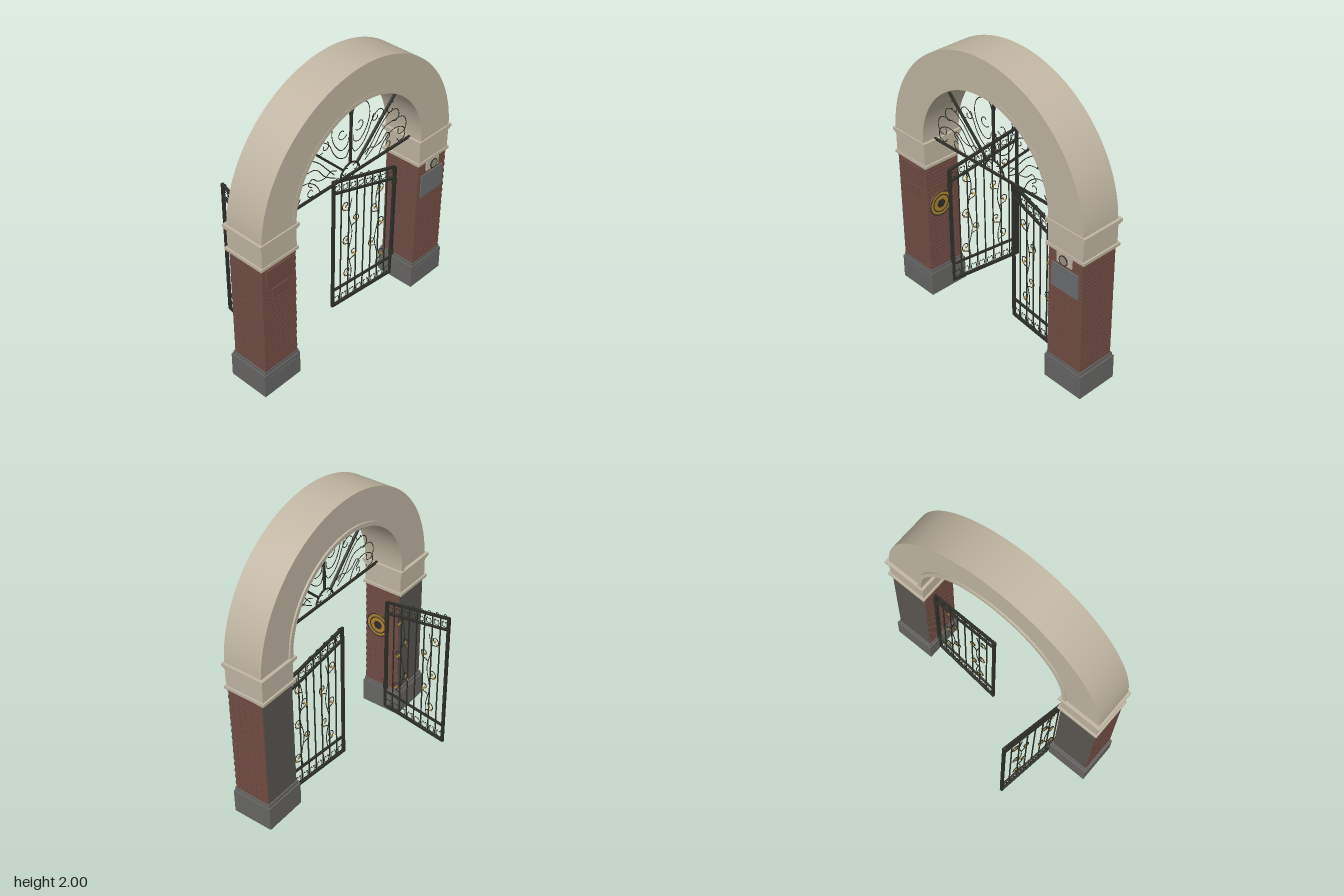
import * as THREE from 'three';
import { mergeGeometries, toCreasedNormals } from 'three/addons/utils/BufferGeometryUtils.js';

const mat = (name, color) => {
  const m = new THREE.MeshStandardMaterial({ color });
  m.name = name;
  return m;
};

export function createModel() {
  const stone = mat('stone', 0xc0b6a2), brick = mat('brick', 0x704c43), mortar = mat('mortar', 0x5b5853);
  const granite = mat('granite', 0x676665), iron = mat('iron', 0x2e2e29), gold = mat('gold', 0xb0822c);
  const slate = mat('slate', 0x6b6d6e), lensMat = mat('lens', 0x9a9282);
  const model = new THREE.Group();

  const add = (parent, name, geo, material) => {
    const mesh = new THREE.Mesh(geo, material);
    mesh.name = name;
    parent.add(mesh);
    return mesh;
  };
  // box given by its limits
  const box = (x0, x1, y0, y1, z0, z1) => new THREE.BoxGeometry(x1 - x0, y1 - y0, z1 - z0)
    .translate((x0 + x1) / 2, (y0 + y1) / 2, (z0 + z1) / 2);
  // square bar between two points in the xy plane
  const bar = (x0, y0, x1, y1, w, d = w) => new THREE.BoxGeometry(Math.hypot(x1 - x0, y1 - y0), w, d)
    .rotateZ(Math.atan2(y1 - y0, x1 - x0)).translate((x0 + x1) / 2, (y0 + y1) / 2, 0);
  // thin bent rod through xy points
  const rod = (pts, r = 0.0028, seg = 24) => new THREE.TubeGeometry(
    new THREE.CatmullRomCurve3(pts.map(([x, y]) => new THREE.Vector3(x, y, 0))), seg, r, 4);
  // spiral curl points around a centre
  const curl = (cx, cy, r, a0, turn, n = 8) => Array.from({ length: n + 1 }, (_, i) => {
    const a = a0 + turn * i / n, q = r * (1 - 0.65 * i / n);
    return [cx + q * Math.cos(a), cy + q * Math.sin(a)];
  });

  // ---- pillars
  const brickRow = (a, b, shift) => {
    const cuts = [], step = 0.0917;
    for (let p = a - shift * step; p < b - 0.002; p += step) {
      const lo = Math.max(a, p), hi = Math.min(b, p + step - 0.004);
      if (hi - lo > 0.006) cuts.push([lo, hi]);
    }
    return cuts;
  };
  for (const s of [-1, 1]) {
    const pillar = new THREE.Group();
    pillar.name = s > 0 ? 'leftPillar' : 'rightPillar';
    pillar.position.x = s * 0.695;
    model.add(pillar);
    add(pillar, 'base', mergeGeometries([
      box(-0.153, 0.153, 0, 0.175, 0.06, 0.355),
      box(-0.144, 0.144, 0.175, 0.2, 0.069, 0.349),
      box(-0.115, 0.115, 0.035, 0.145, 0.355, 0.358),
    ]), granite);
    add(pillar, 'core', box(-0.134, 0.134, 0.2, 1.01, 0.078, 0.342), mortar);
    const bricks = [], courses = 30, h = 0.81 / courses;
    for (let i = 0; i < courses; i++) {
      const y0 = 0.2 + i * h, y1 = y0 + h - 0.003;
      for (const [a, b] of brickRow(-0.138, 0.138, (i % 2) / 2)) bricks.push(box(a, b, y0, y1, 0.33, 0.346));
      for (const [a, b] of brickRow(0.08, 0.342, (i % 2) / 2))
        bricks.push(box(-0.138, -0.125, y0, y1, a, b), box(0.125, 0.138, y0, y1, a, b));
    }
    add(pillar, 'bricks', mergeGeometries(bricks), brick);
    add(pillar, 'capital', mergeGeometries([
      box(-0.152, 0.152, 1.01, 1.03, 0.055, 0.358),
      box(-0.14, 0.14, 1.03, 1.165, 0.068, 0.352),
      box(-0.15, 0.15, 1.165, 1.18, 0.058, 0.357),
      box(-0.157, 0.157, 1.18, 1.2, 0.05, 0.362),
    ]), stone);
  }

  // ---- plaques, intercom and medallion
  add(model, 'namePlaque', mergeGeometries([
    box(-0.8, -0.595, 0.84, 0.985, 0.345, 0.354), box(-0.76, -0.628, 0.755, 0.832, 0.345, 0.354)]), brick);
  add(model, 'noticePlate', box(0.587, 0.802, 0.74, 0.912, 0.345, 0.354), slate);
  add(model, 'intercom', box(0.632, 0.75, 0.937, 1.01, 0.345, 0.357), stone);
  add(model, 'intercomLens', new THREE.CylinderGeometry(0.03, 0.03, 0.012, 24)
    .rotateX(Math.PI / 2).translate(0.692, 0.973, 0.36), lensMat);
  add(model, 'intercomRing', new THREE.TorusGeometry(0.031, 0.004, 6, 24).translate(0.692, 0.973, 0.364), iron);
  const medallion = new THREE.Group();
  medallion.name = 'medallion';
  medallion.position.set(-0.555, 0.7, 0.24);
  medallion.rotation.y = Math.PI / 2;
  model.add(medallion);
  add(medallion, 'disc', new THREE.CylinderGeometry(0.088, 0.088, 0.012, 32).rotateX(Math.PI / 2), gold);
  add(medallion, 'rings', mergeGeometries([0.088, 0.062].map(r =>
    new THREE.TorusGeometry(r, 0.004, 6, 32).translate(0, 0, 0.006))), iron);
  add(medallion, 'relief', new THREE.CircleGeometry(0.035, 6).translate(0, 0, 0.008), iron);

  // ---- arch, with a raised trim around the opening at the back
  const arch = new THREE.Shape();
  const a0 = Math.asin(0.035 / 0.835);
  arch.absarc(0, 1.165, 0.835, a0, Math.PI - a0, false);
  arch.absarc(0, 1.2, 0.557, Math.PI, 0, true);
  arch.closePath();
  const extrude = (shape, z0, z1) => toCreasedNormals(new THREE.ExtrudeGeometry(shape,
    { depth: z1 - z0, bevelEnabled: false, curveSegments: 48 }).translate(0, 0, z0), 0.5);
  add(model, 'arch', extrude(arch, 0.072, 0.353), stone);
  const trim = new THREE.Shape();
  trim.absarc(0, 1.2, 0.585, 0, Math.PI, false);
  trim.absarc(0, 1.2, 0.557, Math.PI, 0, true);
  trim.closePath();
  add(model, 'archTrim', mergeGeometries([extrude(trim, 0.06, 0.074), extrude(trim, 0.352, 0.355)]), stone);

  // ---- fan grille in the arch
  const fan = new THREE.Group();
  fan.name = 'fanGrille';
  fan.position.set(0, 1.2, 0.26);
  model.add(fan);
  const spokes = [bar(-0.557, 0, 0.557, 0, 0.014)];
  for (const a of [0.25, 0.5, 0.75].map(t => t * Math.PI))
    spokes.push(bar(0.085 * Math.cos(a), 0.085 * Math.sin(a), 0.56 * Math.cos(a), 0.56 * Math.sin(a), 0.014));
  spokes.push(new THREE.TorusGeometry(0.085, 0.006, 6, 24, Math.PI));
  add(fan, 'spokes', mergeGeometries(spokes), iron);
  const scrollPaths = [
    [[0.01, 0.42], [0.03, 0.47], [0.08, 0.485], [0.14, 0.45], [0.165, 0.37], [0.14, 0.28], [0.08, 0.215], [0.03, 0.23], [0.02, 0.28]],
    [[0.01, 0.2], [0.04, 0.15], [0.1, 0.17], [0.15, 0.23], [0.19, 0.31], [0.25, 0.35], [0.29, 0.32], [0.28, 0.28], [0.24, 0.28]],
    [[0.14, 0.07], [0.2, 0.14], [0.28, 0.23], [0.36, 0.28], [0.42, 0.27], [0.44, 0.22], [0.41, 0.19], [0.37, 0.21]],
    [[0.13, 0.04], [0.22, 0.1], [0.3, 0.19], [0.39, 0.2], [0.48, 0.19], [0.515, 0.13], [0.49, 0.07], [0.44, 0.08], [0.44, 0.12]],
    [[0.26, 0.01], [0.3, 0.08], [0.37, 0.13], [0.44, 0.13], [0.5, 0.09], [0.5, 0.03], [0.45, 0.02], [0.43, 0.05]],
    [[0.12, 0.09], [0.17, 0.11], [0.22, 0.09], [0.28, 0.1], [0.33, 0.14], [0.36, 0.11], [0.33, 0.08]],
    curl(0.075, 0.33, 0.045, -2.6, 5), curl(0.22, 0.31, 0.035, 2, 5), curl(0.36, 0.3, 0.045, 1, 5),
    curl(0.045, 0.035, 0.03, 2.5, -5), curl(0.34, 0.05, 0.035, -2, 5),
  ];
  add(fan, 'scrolls', mergeGeometries(scrollPaths.flatMap(p =>
    [rod(p, 0.003, 36), rod(p.map(([x, y]) => [-x, y]), 0.003, 36)])), iron);

  // ---- gate leaves: u runs from the hinge to the free edge
  const makeGate = (name, s, angle) => {
    const gate = new THREE.Group();
    gate.name = name;
    gate.position.set(-s * 0.545, 0, 0.165);
    gate.rotation.y = angle;
    model.add(gate);
    const L = 0.535, top = u => 0.922 + 0.136 * u / L, mid = u => top(u) - 0.09;
    const B = (u0, y0, u1, y1, w) => bar(s * u0, y0, s * u1, y1, w);
    const R = (pts, r) => rod(pts.map(([u, y]) => [s * u, y]), r, 14);
    const frame = [
      B(0, 0.025, 0, top(0), 0.02), B(L, 0.025, L, top(L) + 0.008, 0.018),
      B(0, 0.033, L, 0.033, 0.018), B(0, 0.163, L, 0.163, 0.014),
      B(0, top(0), L, top(L), 0.017), B(0, mid(0), L, mid(L), 0.014),
    ];
    const curls = [], n = 8;
    for (let i = 0; i < n; i++) {
      const u = L * i / n, c = u + L / n / 2;
      if (i) frame.push(B(u, 0.03, u, top(u), 0.007));
      // paired curls in the lower and upper bands
      for (const k of [-1, 1]) {
        curls.push(R([[c, 0.05], [c + k * 0.015, 0.052], [c + k * 0.021, 0.075], [c + k * 0.013, 0.1], [c + k * 0.005, 0.088]]));
        const y = mid(c);
        curls.push(R([[c, y + 0.02], [c + k * 0.015, y + 0.02], [c + k * 0.02, y + 0.04], [c + k * 0.012, y + 0.06], [c + k * 0.005, y + 0.05]]));
      }
      // cresting on the sloped top
      if (i > 2) curls.push(R(curl(c, top(c) + 0.016, 0.017, -1.6, 4.5, 6)));
    }
    add(gate, 'frame', mergeGeometries(frame), iron);
    // two climbing vines with curled tendrils and gilded leaves
    const leaves = [];
    for (const v of [0.15, 0.385]) {
      const sway = y => v + 0.014 * Math.sin(y * 19);
      const ys = Array.from({ length: 14 }, (_, i) => 0.165 + i * 0.0535);
      curls.push(rod(ys.map(y => [s * sway(y), y]), 0.0035, 40));
      for (let j = 0; j < 5; j++) {
        const y = 0.21 + j * 0.14, k = (j % 2 ? 1 : -1) * (v < 0.3 ? 1 : -1), u = sway(y);
        const tendril = [[0, 0], [0.018, 0.012], [0.045, 0.02], [0.062, 0.045], [0.05, 0.075], [0.025, 0.078], [0.016, 0.055], [0.032, 0.045]];
        curls.push(R(tendril.map(([a, b]) => [u + k * a, y + b]), 0.0035));
        for (const [a, b] of [[0.05, 0.028], [0.032, 0.048]])
          leaves.push(new THREE.SphereGeometry(0.009, 8, 6).scale(0.8, 1.3, 0.6).translate(s * (u + k * a), y + b, 0));
      }
    }
    add(gate, 'scrolls', mergeGeometries(curls), iron);
    add(gate, 'leaves', mergeGeometries(leaves), gold);
    // hinge collars
    add(gate, 'hinges', mergeGeometries([0.2, 0.223, 0.8, 0.823].map(y =>
      new THREE.CylinderGeometry(0.018, 0.018, 0.016, 12).translate(0, y, 0))), iron);
  };
  makeGate('leftGate', -1, -0.09);
  makeGate('rightGate', 1, 1.43);
  return model;
}
